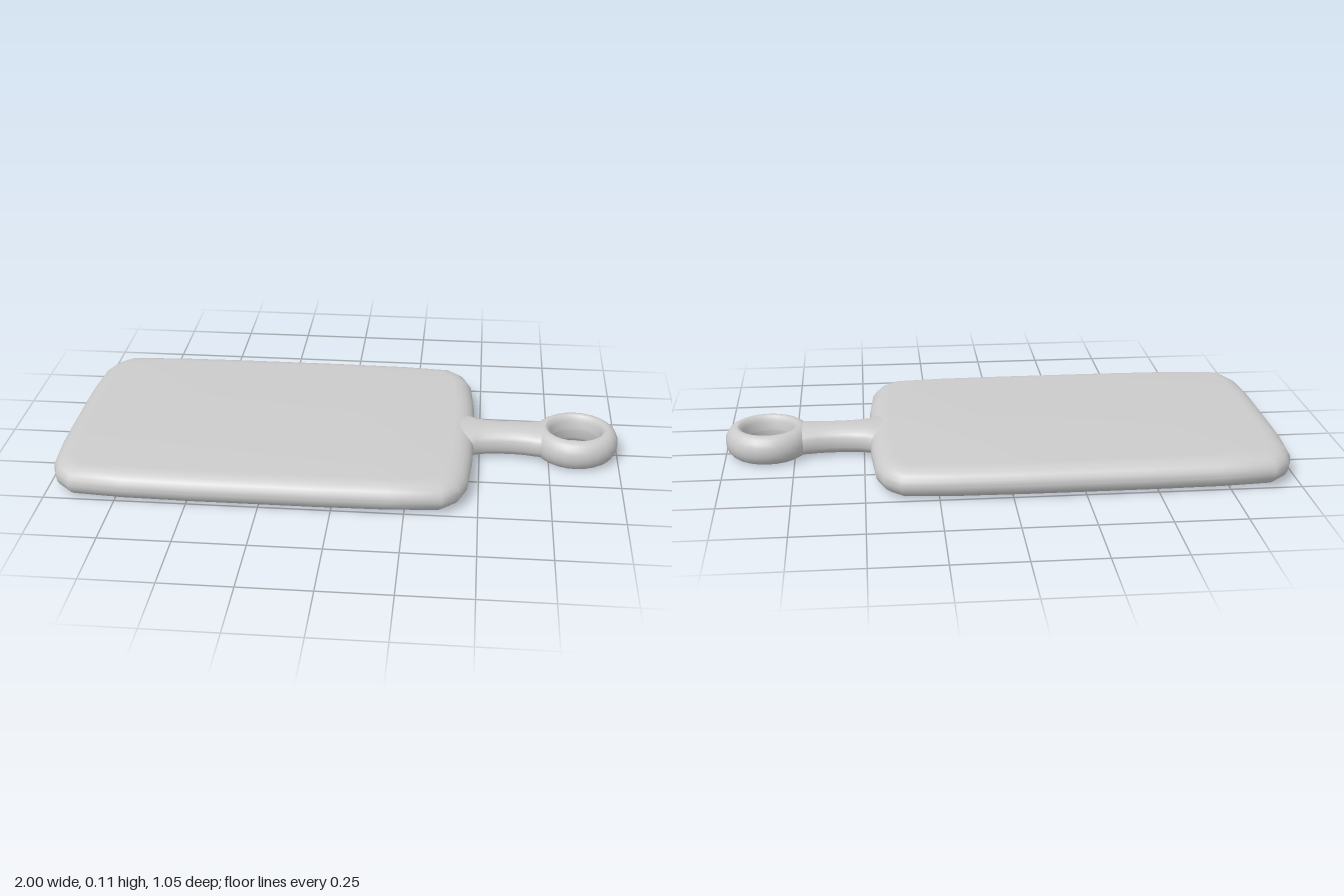
import * as THREE from 'three';
import { toCreasedNormals } from 'three/addons/utils/BufferGeometryUtils.js';

const MID = 0.054; // half the board thickness
const material = new THREE.MeshStandardMaterial({ color: 0xcccccc });

function part(name, geometry) {
  const mesh = new THREE.Mesh(geometry, material);
  mesh.name = name;
  return mesh;
}

// Softly cornered slab with a fully rounded rim
function boardGeometry() {
  const half = [
    [0.478, 0.1], [0.475, 0.22], [0.463, 0.38], [0.437, 0.45], [0.38, 0.505],
    [0.2, 0.52], [-0.05, 0.525], [-0.48, 0.525], [-0.72, 0.52], [-0.905, 0.505],
    [-0.962, 0.45], [-0.988, 0.38], [-0.999, 0.22], [-1, 0.1],
  ];
  const mirrored = half.map(([x, z]) => [x, -z]).reverse();
  const outline = [...half, ...mirrored].map(([x, z]) => new THREE.Vector2(x, z));
  const depth = 0.004, rim = 0.07;
  const geometry = new THREE.ExtrudeGeometry(new THREE.Shape(outline), {
    depth, bevelEnabled: true, bevelThickness: MID - depth / 2,
    bevelSize: rim, bevelOffset: -rim, bevelSegments: 5,
  });
  geometry.rotateX(-Math.PI / 2);
  geometry.translate(0, MID - depth / 2, 0);
  return toCreasedNormals(geometry, 0.75);
}

// Neck lofted along x from superellipse sections: [x, half width]
function neckGeometry() {
  const sections = [
    [0.4, 0.14], [0.46, 0.115], [0.485, 0.092], [0.52, 0.079], [0.57, 0.071],
    [0.62, 0.07], [0.665, 0.075], [0.7, 0.085], [0.735, 0.091],
  ];
  const sides = 24, positions = [], index = [];
  const soft = (v) => Math.sign(v) * Math.abs(v) ** 0.8;
  sections.forEach(([x, w], i) => {
    for (let j = 0; j < sides; j++) {
      const a = (j / sides) * Math.PI * 2;
      positions.push(x, MID + (MID - 0.002) * soft(Math.cos(a)), w * soft(Math.sin(a)));
      if (i === sections.length - 1) continue;
      const p = i * sides + j, q = i * sides + ((j + 1) % sides);
      index.push(p, q, p + sides, q, q + sides, p + sides);
    }
  });
  const geometry = new THREE.BufferGeometry();
  geometry.setAttribute('position', new THREE.Float32BufferAttribute(positions, 3));
  geometry.setIndex(index);
  geometry.computeVertexNormals();
  return geometry;
}

// Hanging ring: rounded outside, nearly straight hole with eased edges
function ringGeometry() {
  const profile = [new THREE.Vector2(0.09, MID), new THREE.Vector2(0.092, 0.02), new THREE.Vector2(0.104, 0.003)];
  for (let i = 0; i <= 10; i++) {
    const a = -Math.PI / 2 + (i / 10) * Math.PI;
    profile.push(new THREE.Vector2(0.113 + 0.042 * Math.cos(a), MID + MID * Math.sin(a)));
  }
  profile.push(new THREE.Vector2(0.104, 2 * MID - 0.003), new THREE.Vector2(0.092, 2 * MID - 0.02), new THREE.Vector2(0.09, MID));
  return new THREE.LatheGeometry(profile, 24);
}

export function createModel() {
  const model = new THREE.Group();
  model.name = 'cuttingBoard';
  const ring = part('hangingRing', ringGeometry());
  ring.position.x = 0.845;
  model.add(part('board', boardGeometry()), part('handleNeck', neckGeometry()), ring);
  return model;
}
